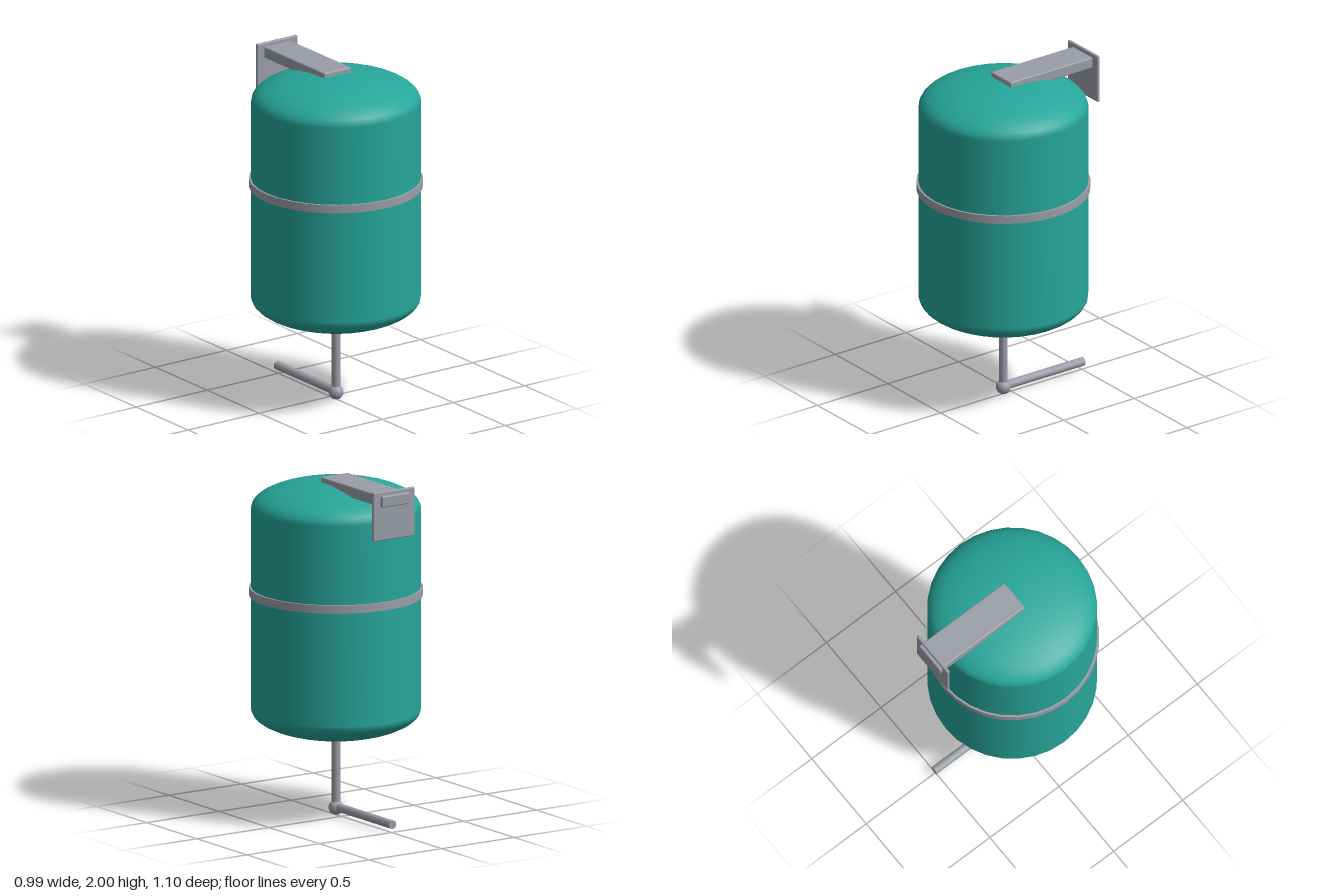
import * as THREE from 'three';
import { RoundedBoxGeometry } from 'three/addons/geometries/RoundedBoxGeometry.js';

const TANK_Z = 0.055;

export function createModel() {
  const model = new THREE.Group();
  model.name = 'wallMountedTank';
  const teal = new THREE.MeshStandardMaterial({ color: 0x26a69a });
  teal.name = 'teal paint';
  const steel = new THREE.MeshStandardMaterial({ color: 0x9a9ea6 });
  steel.name = 'grey steel';

  const add = (name, geometry, material, x, y, z) => {
    const mesh = new THREE.Mesh(geometry, material);
    mesh.name = name;
    mesh.position.set(x, y, z);
    model.add(mesh);
    return mesh;
  };

  // Tank shell: straight wall between two elliptical domes
  const radius = 0.483, dome = 0.16, low = 0.62, high = 1.79, steps = 12;
  const profile = [];
  for (let i = 0; i <= steps; i++) {
    const a = (i / steps) * Math.PI / 2;
    profile.push(new THREE.Vector2(radius * Math.sin(a), low - dome * Math.cos(a)));
  }
  for (let i = steps; i >= 0; i--) {
    const a = (i / steps) * Math.PI / 2;
    profile.push(new THREE.Vector2(radius * Math.sin(a), high + dome * Math.cos(a)));
  }
  add('tank', new THREE.LatheGeometry(profile, 32), teal, 0, 0, TANK_Z);

  // Clamp band around the middle
  add('clampBand', new THREE.CylinderGeometry(0.495, 0.495, 0.048, 32), steel, 0, 1.306, TANK_Z);

  // Hanging bracket: arm over the dome, passing through the wall plate
  add('bracketArm', new RoundedBoxGeometry(0.19, 0.066, 0.618, 2, 0.008), steel, 0, 1.944, -0.236);
  add('wallPlate', new RoundedBoxGeometry(0.285, 0.285, 0.02, 2, 0.007), steel, 0, 1.8575, -0.515);

  // Outlet pipe with a ball elbow
  const elbowY = 0.043;
  add('downPipe', new THREE.CylinderGeometry(0.025, 0.025, 0.457, 12), steel, 0, elbowY + 0.2285, TANK_Z);
  add('elbow', new THREE.SphereGeometry(0.043, 20, 14), steel, 0, elbowY, TANK_Z);
  const outlet = add('outletPipe', new THREE.CylinderGeometry(0.025, 0.025, 0.565, 12), steel,
    0, elbowY + 0.004, TANK_Z - 0.2825);
  outlet.rotation.x = Math.PI / 2;

  return model;
}
